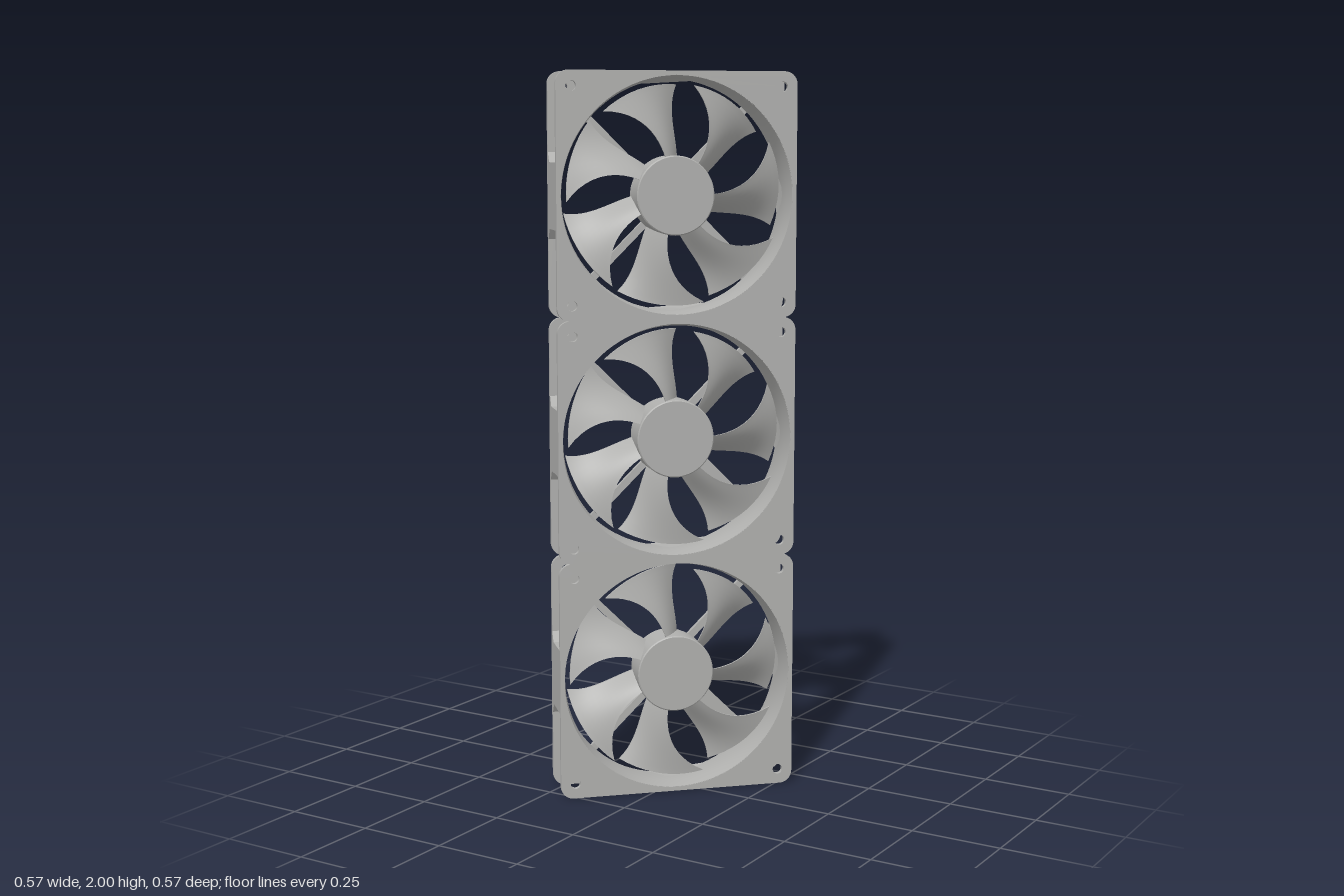
import * as THREE from 'three';
import { toCreasedNormals } from 'three/addons/utils/BufferGeometryUtils.js';

const SIZE = 2 / 3, HALF = SIZE / 2, DEPTH = 0.139, D = DEPTH / 2;
const OPENING = 0.322, FLANGE = 0.014, SCREW = 0.292;
const rad = THREE.MathUtils.degToRad;

const plastic = new THREE.MeshStandardMaterial({ color: 0xb0b0ae });
plastic.name = 'grey plastic';

function add(parent, name, geometry, x = 0, y = 0, z = 0) {
  const mesh = new THREE.Mesh(geometry, plastic);
  mesh.name = name;
  mesh.position.set(x, y, z);
  parent.add(mesh);
  return mesh;
}

// Solid of revolution about z from [radius, z] points
function turned(points, segments = 64) {
  const g = new THREE.LatheGeometry(points.map(p => new THREE.Vector2(p[0], p[1])), segments);
  return toCreasedNormals(g.rotateX(Math.PI / 2), rad(25));
}

// Square plate with rounded corners, round opening and screw holes
function flangeGeometry() {
  const s = new THREE.Shape(), r = 0.035, c = HALF - r;
  s.absarc(c, c, r, 0, Math.PI / 2);
  s.absarc(-c, c, r, Math.PI / 2, Math.PI);
  s.absarc(-c, -c, r, Math.PI, Math.PI * 1.5);
  s.absarc(c, -c, r, Math.PI * 1.5, Math.PI * 2);
  s.closePath();
  const hole = (x, y, radius) =>
    s.holes.push(new THREE.Path().absarc(x, y, radius, 0, Math.PI * 2, true));
  hole(0, 0, OPENING);
  for (const x of [-SCREW, SCREW]) for (const y of [-SCREW, SCREW]) hole(x, y, 0.014);
  return new THREE.ExtrudeGeometry(s, { depth: FLANGE, bevelEnabled: false, curveSegments: 32 });
}

// Solid middle of each frame side, wider toward the back, hollowed to the ring
function sideBlockGeometry() {
  const outline = [
    [-0.09, -D], [-0.045, -D], [0, -D], [0.045, -D], [0.09, -D],
    [0.09, 0.037], [0.124, 0.06], [0.124, D],
    [0.09, D], [0.045, D], [0, D], [-0.045, D], [-0.09, D],
    [-0.124, D], [-0.124, 0.06], [-0.09, 0.037],
  ].map(p => new THREE.Vector2(p[0], p[1]));
  const g = new THREE.ExtrudeGeometry(new THREE.Shape(outline), { depth: 0.02, bevelEnabled: false });
  g.rotateX(-Math.PI / 2).translate(0, HALF - 0.02, 0);
  const p = g.attributes.position;
  for (let i = 0; i < p.count; i++) {
    if (p.getY(i) < HALF - 0.01) p.setY(i, Math.sqrt(0.323 ** 2 - p.getX(i) ** 2));
  }
  return toCreasedNormals(g, rad(25));
}

// Swept, pitched blade: a thin box bent between a leading and a trailing edge
function bladeGeometry() {
  const g = new THREE.BoxGeometry(1, 1, 1, 12, 10, 1);
  const p = g.attributes.position;
  for (let i = 0; i < p.count; i++) {
    const t = p.getX(i) + 0.5, s = p.getY(i) + 0.5;
    const r = 0.1 + 0.2 * t;
    const lead = 53 + 7 * t + 20 * t * t;
    const trail = 26 + 31 * t - 22 * t * t;
    const a = rad(THREE.MathUtils.lerp(trail, lead, s));
    const z = -0.036 + 0.07 * s + 0.012 * Math.sin(Math.PI * s);
    p.setXYZ(i, r * Math.cos(a), r * Math.sin(a), z + p.getZ(i) * 0.006);
  }
  g.computeVertexNormals();
  return g;
}

const flange = flangeGeometry();
const sideBlock = sideBlockGeometry();
const blade = bladeGeometry();
const duct = turned([
  [0.33, -D + 0.001], [0.33, D - 0.001], [OPENING - 0.001, D - 0.001],
  [0.314, 0.035], [0.314, -0.035], [OPENING - 0.001, -D + 0.001], [0.33, -D + 0.001],
], 96);
const hub = turned([[0, -0.035], [0.108, -0.035], [0.108, 0.043], [0.105, 0.046], [0, 0.046]]);
const motor = turned([
  [0.008, -0.058], [0.008, -D], [0.103, -D], [0.103, -0.045], [0, -0.045],
]);
const motorPin = turned([[0, -0.064], [0.005, -0.064], [0.005, -0.045], [0, -0.045]], 16);

function createFan() {
  const fan = new THREE.Group();
  fan.name = 'fan';

  // Frame
  const frame = new THREE.Group();
  frame.name = 'frame';
  fan.add(frame);
  add(frame, 'frontFlange', flange, 0, 0, D - FLANGE);
  add(frame, 'backFlange', flange, 0, 0, -D);
  add(frame, 'duct', duct);
  for (let i = 0; i < 4; i++) {
    const turn = i * Math.PI / 2;
    add(frame, 'sideBlock', sideBlock).rotation.z = turn;
    const diagonal = new THREE.Group();
    diagonal.name = 'cornerSupport';
    diagonal.rotation.z = turn + Math.PI / 4;
    frame.add(diagonal);
    add(diagonal, 'cornerRib', new THREE.BoxGeometry(0.04, 0.015, DEPTH - 0.02), 0.346, 0, 0);
    // Back struts, one of them a cable channel
    if (i === 3) {
      add(diagonal, 'cableChannel', new THREE.BoxGeometry(0.235, 0.045, 0.005), 0.21, 0.005, -0.056);
      for (const y of [-0.015, 0.025]) {
        add(diagonal, 'channelRail', new THREE.BoxGeometry(0.235, 0.006, 0.014), 0.21, y, -0.0615);
      }
    } else {
      add(diagonal, 'strut', new THREE.BoxGeometry(0.235, 0.02, 0.014), 0.21, 0.01, -0.0615);
    }
  }
  add(frame, 'motorHousing', motor);
  add(frame, 'motorPin', motorPin);

  // Rotor
  const rotor = new THREE.Group();
  rotor.name = 'rotor';
  fan.add(rotor);
  add(rotor, 'hub', hub);
  for (let i = 0; i < 7; i++) add(rotor, 'blade', blade).rotation.z = i * Math.PI * 2 / 7;
  return fan;
}

export function createModel() {
  const model = new THREE.Group();
  model.name = 'fanStack';
  for (let i = 0; i < 3; i++) {
    const fan = createFan();
    fan.position.y = HALF + i * SIZE;
    fan.rotation.y = Math.PI / 4;
    model.add(fan);
  }
  return model;
}
